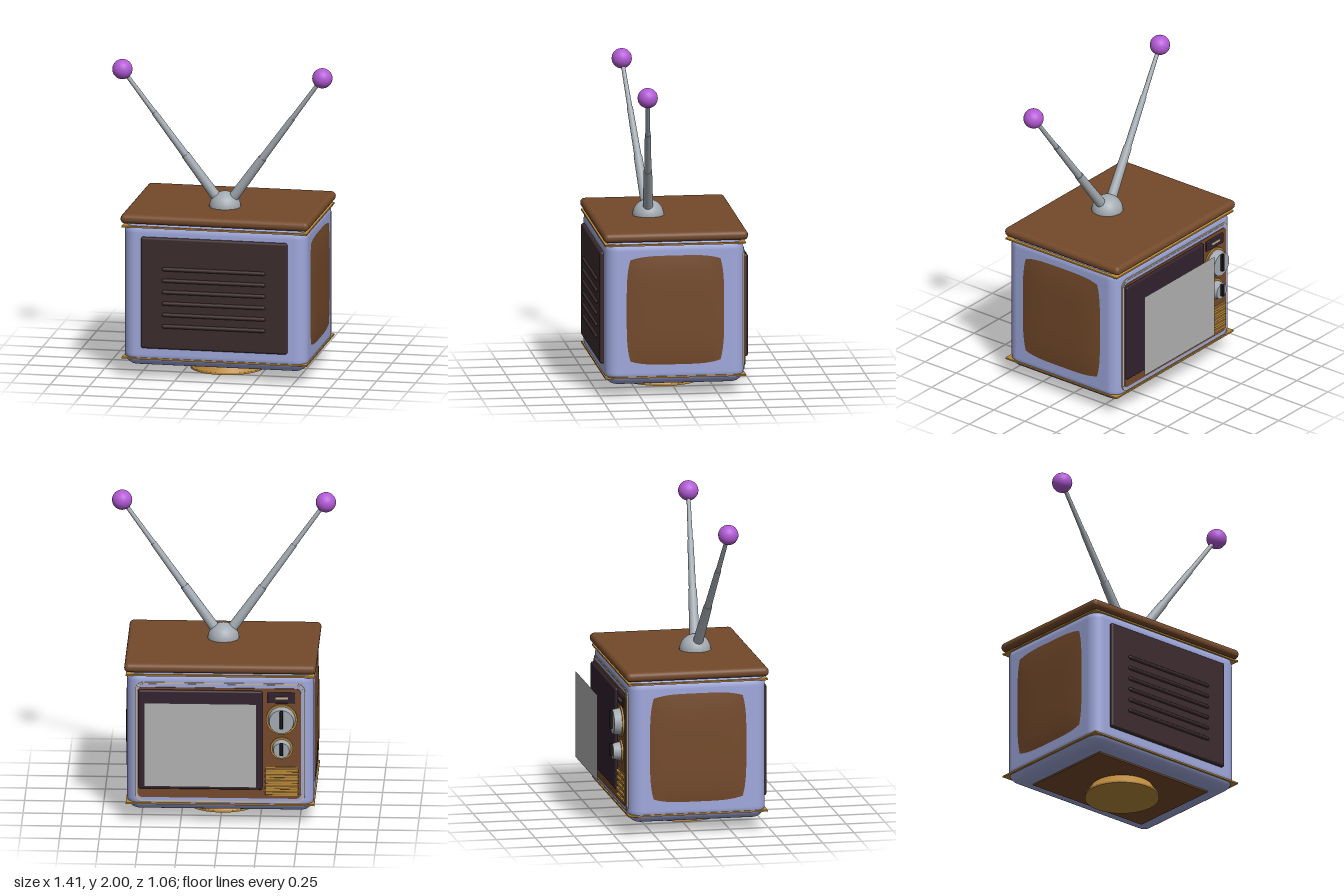
import * as THREE from 'three';
import { RoundedBoxGeometry } from 'three/addons/geometries/RoundedBoxGeometry.js';

function material(name, color) {
  const m = new THREE.MeshStandardMaterial({ color });
  m.name = name;
  return m;
}

export function createModel() {
  const root = new THREE.Group();
  root.name = 'television';
  const lavender = material('lavender', 0x9fa8dc);
  const brown = material('brown wood', 0x744a2b);
  const dark = material('dark plastic', 0x3c2b2d);
  const plum = material('bezel plum', 0x33222f);
  const gold = material('gold', 0xb9883a);
  const metal = material('metal', 0xa3abb2);
  const purple = material('purple', 0xb35ad6);
  const glass = material('screen grey', 0xb2b2b2);
  const black = material('black', 0x1c1517);
  const cream = material('cream', 0xc9b78f);

  function add(name, geometry, mat, x = 0, y = 0, z = 0) {
    const mesh = new THREE.Mesh(geometry, mat);
    mesh.name = name;
    mesh.position.set(x, y, z);
    root.add(mesh);
    return mesh;
  }

  // Box given by its extents, with rounded edges when r > 0
  function block(name, mat, [x0, x1], [y0, y1], [z0, z1], r = 0) {
    const s = [x1 - x0, y1 - y0, z1 - z0];
    const geometry = r ? new RoundedBoxGeometry(...s, 4, r) : new THREE.BoxGeometry(...s);
    return add(name, geometry, mat, (x0 + x1) / 2, (y0 + y1) / 2, (z0 + z1) / 2);
  }

  // Upright plate with rounded corners
  function plate(name, mat, [x0, x1], [y0, y1], [z0, z1], r) {
    const s = new THREE.Shape();
    s.absarc(x1 - r, y1 - r, r, 0, Math.PI / 2);
    s.absarc(x0 + r, y1 - r, r, Math.PI / 2, Math.PI);
    s.absarc(x0 + r, y0 + r, r, Math.PI, Math.PI * 1.5);
    s.absarc(x1 - r, y0 + r, r, Math.PI * 1.5, Math.PI * 2);
    const geometry = new THREE.ExtrudeGeometry(s, { depth: z1 - z0, bevelEnabled: false, curveSegments: 6 });
    return add(name, geometry, mat, 0, 0, z0);
  }

  // Cabinet, lid, trims and foot
  block('cabinet', lavender, [-0.59, 0.59], [0.078, 1.02], [-0.412, 0.472], 0.08);
  block('lid', brown, [-0.605, 0.605], [0.998, 1.058], [-0.433, 0.485], 0.028);
  for (const y of [0.13, 0.98]) {
    block('goldTrim', gold, [-0.595, 0.595], [y - 0.005, y + 0.005], [-0.417, 0.477]);
  }
  block('underPlate', brown, [-0.45, 0.45], [0.068, 0.08], [-0.29, 0.35]);
  add('foot', new THREE.CylinderGeometry(0.195, 0.235, 0.06, 48), gold, 0, 0.04, 0.045);
  add('footRim', new THREE.CylinderGeometry(0.235, 0.235, 0.012, 48), gold, 0, 0.006, 0.045);

  // Bulging barrel-shaped side panels
  for (const side of [-1, 1]) {
    const geometry = new THREE.PlaneGeometry(2, 2, 20, 20);
    const p = geometry.attributes.position;
    for (let i = 0; i < p.count; i++) {
      const u = p.getX(i), v = p.getY(i);
      p.setXYZ(i,
        0.31 * u * (1 - 0.075 * v * v * v * v),
        0.35 * v * (1 - 0.07 * u * u * u * u),
        0.013 * (1 - u * u * u * u) * (1 - v * v * v * v));
    }
    geometry.computeVertexNormals();
    const panel = add('sidePanel', geometry, brown, side * 0.591, 0.56, 0.03);
    panel.rotation.y = side * Math.PI / 2;
  }

  // Vented panel on the +z face
  block('ventPanel', dark, [-0.47, 0.47], [0.2, 0.92], [0.46, 0.495], 0.014);
  for (let i = 0; i < 6; i++) {
    const slat = add('ventSlat', new THREE.CapsuleGeometry(0.013, 0.64, 6, 12), dark, 0, 0.35 + i * 0.074, 0.496);
    slat.rotation.z = Math.PI / 2;
  }

  // Screen face on the -z side
  plate('faceTrim', cream, [-0.535, 0.535], [0.145, 0.935], [-0.417, -0.405], 0.05);
  plate('faceInset', lavender, [-0.526, 0.526], [0.154, 0.926], [-0.419, -0.41], 0.045);
  plate('facePanel', brown, [-0.51, 0.52], [0.175, 0.905], [-0.424, -0.41], 0.03);
  block('bezel', plum, [-0.268, 0.515], [0.235, 0.89], [-0.442, -0.41], 0.012);
  const screen = add('screen', new THREE.PlaneGeometry(0.712, 0.555), glass, 0.12, 0.563, -0.546);
  screen.rotation.y = Math.PI;

  // Channel window and speaker grille
  block('channelWindow', plum, [-0.475, -0.3], [0.81, 0.88], [-0.432, -0.42], 0.005);
  block('channelMark', cream, [-0.43, -0.35], [0.838, 0.852], [-0.436, -0.43]);
  block('grilleBack', gold, [-0.49, -0.29], [0.195, 0.385], [-0.429, -0.42]);
  for (let i = 0; i < 5; i++) {
    const y = 0.203 + i * 0.038;
    block('grilleSlat', gold, [-0.495, -0.285], [y, y + 0.02], [-0.438, -0.425], 0.004);
  }

  // Tuning knobs with flange, tapered cap and grip
  for (const [y, r] of [[0.703, 0.087], [0.512, 0.06]]) {
    const flange = add('knobFlange', new THREE.CylinderGeometry(r + 0.012, r + 0.012, 0.012, 32), gold, -0.39, y, -0.429);
    const cap = add('knob', new THREE.CylinderGeometry(r, r - 0.01, 0.05, 32), metal, -0.39, y, -0.458);
    flange.rotation.x = cap.rotation.x = Math.PI / 2;
    block('knobGrip', black, [-0.4, -0.38], [y - r * 0.5, y + r * 0.85], [-0.5, -0.47], 0.004);
  }

  // Antenna dome, telescoping rods and ball tips
  add('antennaDome', new THREE.SphereGeometry(0.1, 32, 16, 0, Math.PI * 2, 0, Math.PI / 2), metal, 0, 1.057, 0.128);
  const up = new THREE.Vector3(0, 1, 0);
  for (const side of [-1, 1]) {
    const start = new THREE.Vector3(side * 0.04, 1.1, 0.134);
    const tip = new THREE.Vector3(side * 0.643, 1.937, 0.213);
    const direction = tip.clone().sub(start);
    const sections = [[0, 0.345, 0.033, 0.027], [0.345, 0.67, 0.023, 0.019], [0.67, 1, 0.016, 0.012]];
    for (const [a, b, r0, r1] of sections) {
      const rod = add('antennaRod', new THREE.CylinderGeometry(r1, r0, direction.length() * (b - a), 20), metal);
      rod.position.copy(start).addScaledVector(direction, (a + b) / 2);
      rod.quaternion.setFromUnitVectors(up, direction.clone().normalize());
    }
    add('antennaBall', new THREE.SphereGeometry(0.064, 28, 18), purple, tip.x, tip.y, tip.z);
  }
  return root;
}
